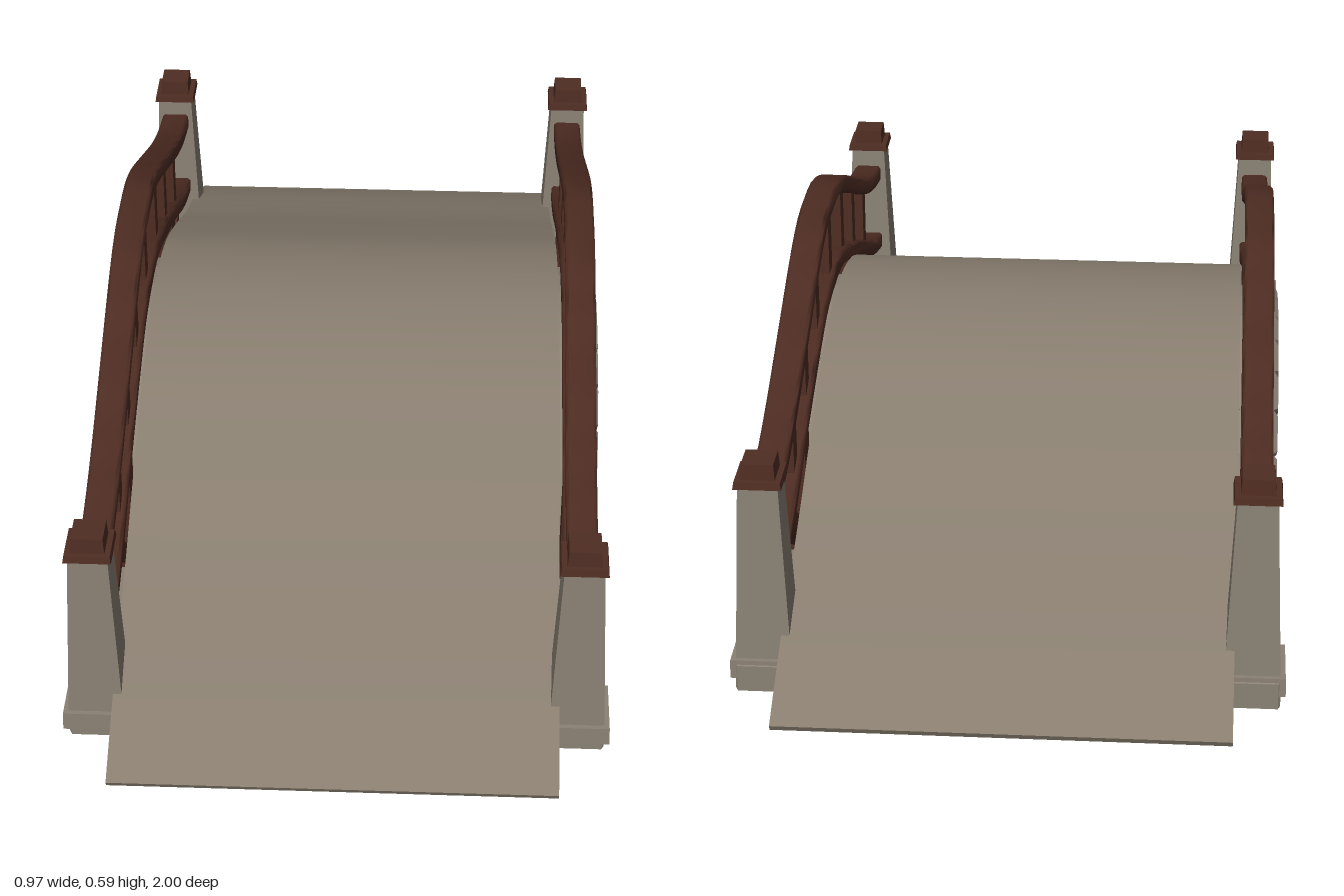
import * as THREE from 'three';
import { toCreasedNormals } from 'three/addons/utils/BufferGeometryUtils.js';

const stone = new THREE.MeshStandardMaterial({ name: 'stone', color: 0x8a8174 });
const deckStone = new THREE.MeshStandardMaterial({ name: 'deckStone', color: 0x887d6f });
const wood = new THREE.MeshStandardMaterial({ name: 'darkWood', color: 0x4f2d23 });

const V = (z, y) => new THREE.Vector2(z, y);

// Extrudes a (z, y) outline across x, centred, with optional bevelled edges
function slab(points, width, bevel = 0, crease = 0.5) {
  const depth = width - 2 * bevel;
  const g = new THREE.ExtrudeGeometry(new THREE.Shape(points), {
    depth, bevelEnabled: bevel > 0, bevelThickness: bevel, bevelSize: bevel,
    bevelOffset: -bevel, bevelSegments: 1,
  });
  g.translate(0, 0, -depth / 2).rotateY(-Math.PI / 2);
  return toCreasedNormals(g, crease);
}

// Square block tapering from width wb to wt, standing on y0
function frustum(wb, wt, y0, y1) {
  const g = new THREE.CylinderGeometry(wt / Math.SQRT2, wb / Math.SQRT2, y1 - y0, 4);
  g.rotateY(Math.PI / 4).translate(0, (y0 + y1) / 2, 0);
  return toCreasedNormals(g, 0.5);
}

// Curve through half a profile, mirrored about z = 0
function mirroredCurve(half) {
  const left = half.slice(1).reverse().map(([z, y]) => V(-z, y));
  return new THREE.SplineCurve([...left, ...half.map(([z, y]) => V(z, y))]);
}

// Height of a curve at a given z
function heightAt(curve, z) {
  return curve.getPoints(200).find((q) => q.x >= z).y;
}

// Closed band of constant thickness around a curve
function band(curve, t, n = 36) {
  const up = [], down = [];
  for (let i = 0; i <= n; i++) {
    const p = curve.getPointAt(i / n), d = curve.getTangentAt(i / n);
    up.push(V(p.x - d.y * t / 2, p.y + d.x * t / 2));
    down.push(V(p.x + d.y * t / 2, p.y - d.x * t / 2));
  }
  return [...down, ...up.reverse()];
}

// Rectangle between two points in the (z, y) plane
function beam(a, b, t) {
  const d = b.clone().sub(a).normalize().multiplyScalar(t / 2);
  const n = V(-d.y, d.x);
  return [a.clone().sub(n), b.clone().sub(n), b.clone().add(n), a.clone().add(n)];
}

export function createModel() {
  const model = new THREE.Group();
  model.name = 'archBridge';
  const add = (name, geometry, material, x = 0, z = 0) => {
    const m = new THREE.Mesh(geometry, material);
    m.name = name;
    m.position.set(x, 0, z);
    model.add(m);
  };
  const arc = (a, rz, ry) => V(Math.sin(a) * rz, 0.07 + Math.cos(a) * ry);

  // Thin humped deck, hollow underneath
  const deck = mirroredCurve([[0, 0.4], [0.2, 0.371], [0.4, 0.29], [0.6, 0.197], [0.83, 0.104], [0.997, 0.02]]);
  add('deck', slab(band(deck, 0.012, 48), 0.79), deckStone);

  // Side walls with the arch cut out
  const wall = [V(-0.99, 0.018), V(-0.86, 0.045), V(-0.35, 0.045)];
  for (let i = 0; i <= 24; i++) wall.push(arc((i / 12 - 1) * Math.PI / 2, 0.35, 0.28));
  wall.push(V(0.35, 0.045), V(0.86, 0.045), V(0.99, 0.018), ...deck.getPoints(48).slice(1, -1).reverse());

  // Arch stones of equal length running the full width
  const count = 13, steps = 240, overlap = 0.004;
  const angles = [], lengths = [0];
  for (let i = 0; i <= steps; i++) {
    angles.push((i / steps * 2 - 1) * 1.6);
    if (i) lengths.push(lengths[i - 1] + arc(angles[i], 0.35, 0.27).distanceTo(arc(angles[i - 1], 0.35, 0.27)));
  }
  const angleAt = (f) => angles[lengths.findIndex((l) => l >= f * lengths[steps] - 1e-6)];
  for (let i = 0; i < count; i++) {
    const a = angleAt(i / count) - overlap, b = angleAt((i + 1) / count) + overlap;
    const quad = [arc(a, 0.305, 0.224), arc(b, 0.305, 0.224), arc(b, 0.385, 0.317), arc(a, 0.385, 0.317)];
    add('archStone', slab(quad, 0.94, 0.01, 0.3), stone);
  }

  // Rail curves and baluster positions
  const topRail = mirroredCurve([[0, 0.576], [0.09, 0.572], [0.19, 0.543], [0.35, 0.476], [0.525, 0.402], [0.65, 0.36], [0.76, 0.338]]);
  const lowRail = mirroredCurve([[0, 0.418], [0.09, 0.414], [0.19, 0.39], [0.42, 0.305], [0.59, 0.23], [0.68, 0.198], [0.76, 0.178]]);
  const balusters = [-0.52, -0.348, -0.183, 0.005, 0.187, 0.355, 0.525];

  for (const side of [-1, 1]) {
    const x = side * 0.427;
    add('sideWall', slab(wall, 0.015), deckStone, side * 0.386);
    add('topRail', slab(band(topRail, 0.034), 0.055, 0.005, 1), wood, x);
    add('lowerRail', slab(band(lowRail, 0.034), 0.055, 0.005, 1), wood, x);
    for (const z of balusters) {
      add('baluster', slab(beam(V(z, heightAt(lowRail, z)), V(z, heightAt(topRail, z)), 0.04), 0.038), wood, x);
    }

    for (const end of [-1, 1]) {
      // Post and diagonal brace under the lower rail
      add('supportPost', slab(beam(V(end * 0.42, 0.05), V(end * 0.42, 0.3), 0.055), 0.05), wood, x);
      add('brace', slab(beam(V(end * 0.43, 0.078), V(end * 0.595, 0.225), 0.034), 0.035), wood, x);

      // Foundation strip with a chamfered top
      const strip = [V(0.32, 0), V(0.85, 0), V(0.85, 0.05), V(0.84, 0.06), V(0.325, 0.06), V(0.32, 0.055)];
      const foundation = strip.map((p) => V(end * p.x, p.y));
      add('foundation', slab(foundation, 0.1, 0.004, 0.3), stone, x);

      // Corner pillar with collar and wooden cap
      const z = end > 0 ? 0.805 : -0.79;
      add('pillarCollar', frustum(0.118, 0.116, 0.025, 0.06), stone, x, z);
      add('pillar', frustum(0.098, 0.07, 0.06, 0.39), stone, x, z);
      add('capFlange', frustum(0.084, 0.08, 0.39, 0.403), wood, x, z);
      add('cap', frustum(0.06, 0.056, 0.403, 0.432), wood, x, z);
    }
  }
  return model;
}
